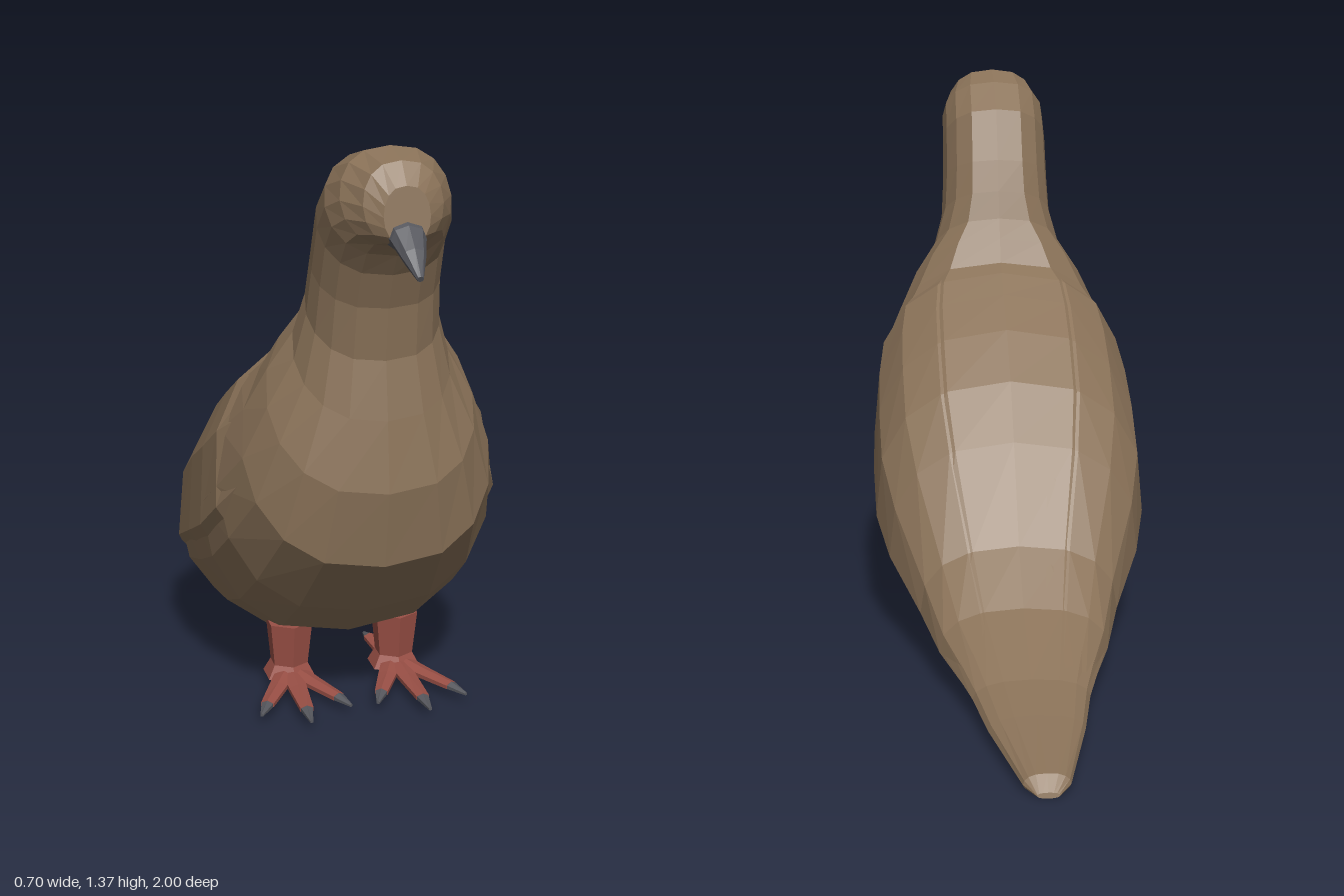
import * as THREE from 'three';

const paint = (name, color) => new THREE.MeshStandardMaterial({ name, color, flatShading: true });
const N = 16;

// Point on a cross-section [topZ, topY, bottomZ, bottomY, halfWidth, height of widest point 0..1]
function ringPoint([tz, ty, bz, by, w, m = 0.48], a, scale = 1) {
  const s = Math.sin(a), c = Math.cos(a);
  const up = m + (c > 0 ? (1 - m) * c : m * c) * scale;
  const x = w * scale * Math.sign(s) * Math.abs(s) ** 0.78;
  return [x, by + (ty - by) * up, bz + (tz - bz) * up];
}

// Skin between rows of points running towards +z; rows go from the top towards +x
function skin(rows, closed) {
  const n = rows[0].length, pos = rows.flat(2), idx = [];
  for (let i = 0; i < rows.length - 1; i++) {
    for (let j = 0; j < (closed ? n : n - 1); j++) {
      const a = i * n + j, a2 = i * n + (j + 1) % n, b = a + n, b2 = a2 + n;
      idx.push(a, b, a2, a2, b, b2);
    }
  }
  if (closed) {
    const last = (rows.length - 1) * n;
    for (let j = 1; j < n - 1; j++) idx.push(0, j, j + 1, last, last + j + 1, last + j);
  }
  const g = new THREE.BufferGeometry();
  g.setAttribute('position', new THREE.Float32BufferAttribute(pos, 3));
  g.setIndex(idx);
  g.computeVertexNormals();
  return g;
}

function loft(sections, n) {
  return skin(sections.map(s =>
    Array.from({ length: n }, (_, j) => ringPoint(s, j / n * Math.PI * 2))), true);
}

function add(parent, name, geometry, material) {
  const mesh = new THREE.Mesh(geometry, material);
  mesh.name = name;
  parent.add(mesh);
  return mesh;
}

export function createModel() {
  const plumage = paint('brown plumage', 0x8b7359);
  const skinRed = paint('red leg skin', 0x9a5046);
  const horn = paint('grey horn', 0x55565c);
  const bird = new THREE.Group();
  bird.name = 'bird';

  // Tail, body, neck and head as one skin
  const sections = [
    [-0.997, 0.015, -1.0, 0.003, 0.025, 0.5],
    [-0.965, 0.045, -0.97, 0.005, 0.052, 0.4],
    [-0.72, 0.075, -0.72, 0.02, 0.11, 0.35],
    [-0.57, 0.1, -0.57, 0.032, 0.137, 0.35],
    [-0.34, 0.19, -0.36, 0.045, 0.2, 0.35],
    [-0.2, 0.3, -0.2, 0.055, 0.24, 0.38],
    [-0.04, 0.52, -0.02, 0.06, 0.31, 0.42],
    [0.07, 0.65, 0.12, 0.07, 0.34, 0.45],
    [0.2, 0.755, 0.3, 0.092, 0.343],
    [0.31, 0.825, 0.45, 0.15, 0.34],
    [0.38, 0.87, 0.6, 0.26, 0.325],
    [0.42, 0.89, 0.76, 0.43, 0.285],
    [0.45, 0.95, 0.79, 0.61, 0.235],
    [0.475, 1.0, 0.77, 0.77, 0.175],
    [0.5, 1.07, 0.75, 0.9, 0.148],
    [0.53, 1.15, 0.765, 1.02, 0.142],
    [0.585, 1.28, 0.795, 1.1, 0.14],
    [0.67, 1.345, 0.83, 1.15, 0.138],
    [0.76, 1.37, 0.855, 1.175, 0.12],
    [0.85, 1.355, 0.885, 1.185, 0.086],
    [0.89, 1.31, 0.905, 1.19, 0.05],
  ];
  add(bird, 'body', loft(sections, N), plumage);

  // Folded wings: shallow raised panels whose rims sink into the body
  const rowScale = [0.97, 1.0, 1.018, 1.022, 1.022, 0.96];
  const rowAngle = [0.2, 0.45, 0.8, 1.2, 1.72, 1.9];
  const wingSections = sections.slice(3, 12);
  const wing = skin(wingSections.map((s, i) => rowAngle.map((a, j) => {
    const rim = i === 0 || i === wingSections.length - 1;
    return ringPoint(s, a, rim ? 0.97 : rowScale[j]);
  })), false);
  const mirrored = wing.clone().scale(-1, 1, 1);
  mirrored.setIndex([...wing.index.array].reverse());
  mirrored.computeVertexNormals();
  add(bird, 'leftWing', wing, plumage);
  add(bird, 'rightWing', mirrored, plumage);

  // Beak, drooping to a point
  add(bird, 'beak', loft([
    [0.87, 1.25, 0.87, 1.175, 0.045],
    [0.91, 1.232, 0.91, 1.175, 0.038],
    [0.955, 1.195, 0.95, 1.155, 0.025],
    [1.0, 1.147, 0.995, 1.135, 0.007],
  ], 8), horn);

  // Toe and claw, pointing along +z from the ankle
  const toeGeometry = length => loft([
    [-0.02, 0.05, -0.02, 0.022, 0.03, 0.3],
    [length * 0.4, 0.042, length * 0.4, 0.022, 0.024, 0.3],
    [length * 0.8, 0.04, length * 0.8, 0.022, 0.017, 0.3],
  ], 6);
  const clawGeometry = length => loft([
    [length * 0.79, 0.04, length * 0.79, 0.022, 0.016, 0.3],
    [length, 0.03, length, 0.022, 0.004, 0.3],
  ], 6);

  for (const side of [1, -1]) {
    const label = side > 0 ? 'left' : 'right';

    // Eye
    const eye = add(bird, label + 'Eye', new THREE.SphereGeometry(0.015, 8, 6), horn);
    eye.position.set(side * 0.108, 1.265, 0.807);
    eye.scale.x = 0.6;

    // Leg and foot
    const leg = new THREE.Group();
    leg.name = label + 'Leg';
    leg.position.set(side * 0.13, 0, 0.38);
    bird.add(leg);
    const shank = add(leg, 'shank', new THREE.CylinderGeometry(0.058, 0.045, 0.12, 6), skinRed);
    shank.position.y = 0.1;
    const ankle = add(leg, 'ankle', new THREE.CylinderGeometry(0.045, 0.065, 0.035, 6), skinRed);
    ankle.position.y = 0.04;
    for (const [name, turn, length] of [
      ['middleToe', 0.04, 0.28], ['outerToe', 0.48, 0.25],
      ['innerToe', -0.42, 0.24], ['backToe', Math.PI + 0.15, 0.18],
    ]) {
      const toe = new THREE.Group();
      toe.name = name;
      toe.rotation.y = side * turn;
      leg.add(toe);
      add(toe, 'toe', toeGeometry(length), skinRed);
      add(toe, 'claw', clawGeometry(length), horn);
    }
  }
  return bird;
}
